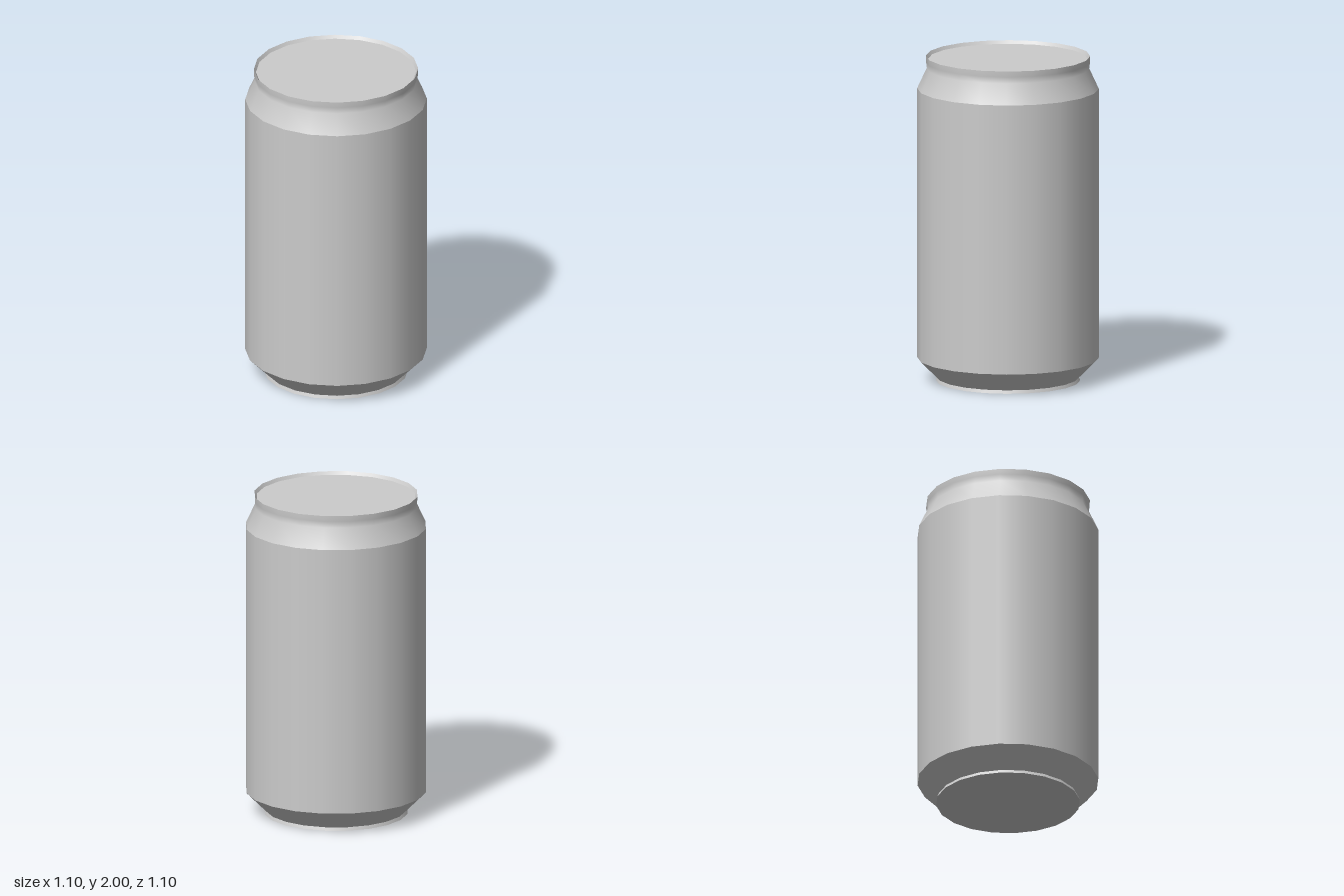
import * as THREE from 'three';

const SIDES = 20;

export function createModel() {
  const can = new THREE.Group();
  can.name = 'drinkCan';
  const material = new THREE.MeshStandardMaterial({ color: 0xcccccc });

  // Each ring is its own lathe, so edges between rings stay crisp
  const addRing = (name, ...profile) => {
    const points = profile.map(([r, y]) => new THREE.Vector2(r, y));
    const mesh = new THREE.Mesh(new THREE.LatheGeometry(points, SIDES), material);
    mesh.name = name;
    can.add(mesh);
  };

  // Base
  addRing('bottomDisc', [0, 0], [0.437, 0]);
  addRing('footRing', [0.437, 0], [0.43, 0.02]);
  addRing('lowerTaper', [0.43, 0.02], [0.55, 0.14]);

  // Wall
  addRing('body', [0.55, 0.14], [0.55, 1.8]);

  // Shoulder narrowing to a slight groove below the lip
  addRing('shoulderAndNeck', [0.55, 1.8], [0.492, 1.925], [0.497, 1.965], [0.498, 2]);

  // Recessed top
  addRing('innerLip', [0.498, 2], [0.485, 1.98]);
  addRing('lid', [0.485, 1.98], [0, 1.98]);

  return can;
}
